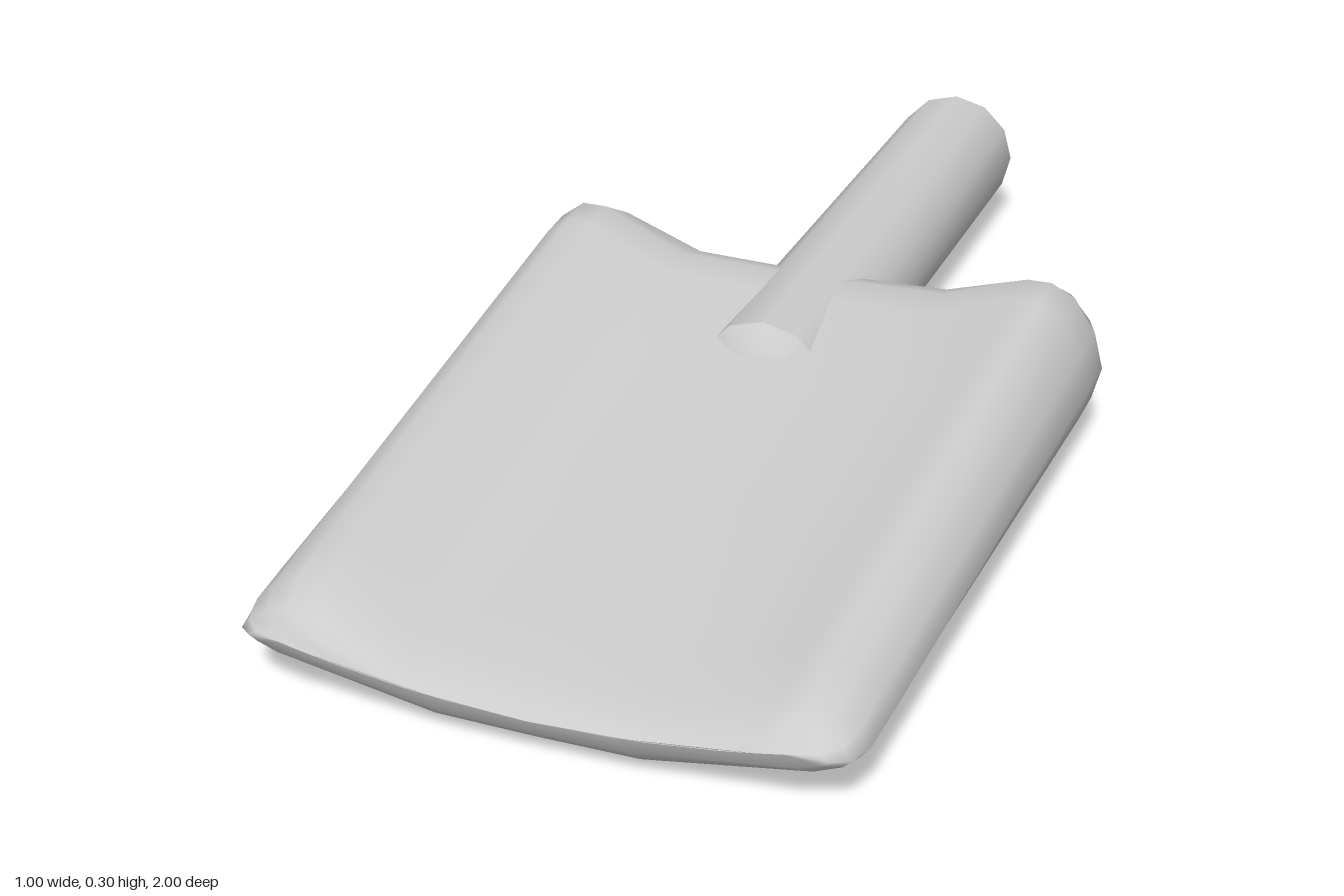
import * as THREE from 'three';
import { toCreasedNormals } from 'three/addons/utils/BufferGeometryUtils.js';

const material = new THREE.MeshStandardMaterial({ color: 0xcccccc });

// Half cross-section of the scoop at its tall end, bottom centre to top centre:
// x, y, and how strongly the point sinks toward the thin front edge
const HALF = [
  [0, 0, 0], [0.17, 0, 0], [0.44, 0.05, 0], [0.485, 0.085, 0.1], [0.5, 0.14, 0.4],
  [0.485, 0.2, 0.65], [0.45, 0.265, 0.9], [0.41, 0.295, 1], [0.37, 0.295, 1],
  [0.23, 0.227, 1], [0, 0.222, 1],
];

// Stations along the scoop: z, thickness factor, width factor
const STATIONS = [
  [-0.21, 0, 0.76], [-0.195, 0.32, 0.84], [-0.155, 0.7, 0.95], [-0.1, 0.95, 1],
  [-0.03, 1, 1], [0.2, 1, 1], [0.5, 1, 1], [0.85, 1, 1],
  [0.93, 0.9, 1], [0.97, 0.65, 0.98], [0.99, 0.35, 0.93], [1, 0, 0.82],
];

function scoopGeometry() {
  const mirrored = HALF.slice(1, -1).reverse().map(([x, y, g]) => [-x, y, g]);
  const loop = [...HALF, ...mirrored];
  const n = loop.length;
  const positions = [];
  const indices = [];

  STATIONS.forEach(([z, thick, wide], i) => {
    const taper = 1 - 0.09 * (z + 0.1);
    const base = 0.14 - 0.07 * (z + 0.2) / 1.2;
    loop.forEach(([x, y0, sink], j) => {
      // the left rim is slightly lower than the right one
      const dip = x > 0 ? Math.max(0, y0 - 0.23) * 0.27 : 0;
      const y = y0 - dip - 0.13 * z * sink;
      const mid = base + 0.04 * (x / 0.5) ** 2;
      positions.push(x * taper * wide, mid + thick * (y - mid), z);
      if (i < STATIONS.length - 1) {
        const a = i * n + j;
        const b = i * n + (j + 1) % n;
        indices.push(a, b, a + n, b, b + n, a + n);
      }
    });
  });

  const geometry = new THREE.BufferGeometry();
  geometry.setAttribute('position', new THREE.Float32BufferAttribute(positions, 3));
  geometry.setIndex(indices);
  geometry.computeVertexNormals();
  return geometry;
}

// Round grip with a shallow dome at each end
function handleGeometry() {
  const radius = 0.113, depth = 0.06, back = -0.94, front = 0.12, steps = 3;
  const sphere = (radius ** 2 + depth ** 2) / (2 * depth);
  const spread = Math.asin(radius / sphere);
  const dome = [];
  for (let i = 0; i <= steps; i++) {
    const a = spread * i / steps;
    dome.push([sphere * Math.sin(a), depth - sphere * (1 - Math.cos(a))]);
  }
  const profile = [
    ...dome.map(([r, h]) => new THREE.Vector2(r, back - h)),
    ...dome.reverse().map(([r, h]) => new THREE.Vector2(r, front + h)),
  ];
  const geometry = new THREE.LatheGeometry(profile, 12).rotateX(Math.PI / 2);
  return toCreasedNormals(geometry, 0.6);
}

// toCreasedNormals keeps the rims of the domes sharp
export function createModel() {
  const shovel = new THREE.Group();
  shovel.name = 'handShovel';

  const scoop = new THREE.Mesh(scoopGeometry(), material);
  scoop.name = 'scoop';

  const handle = new THREE.Mesh(handleGeometry(), material);
  handle.name = 'handle';
  handle.position.y = 0.133;

  shovel.add(scoop, handle);
  return shovel;
}
